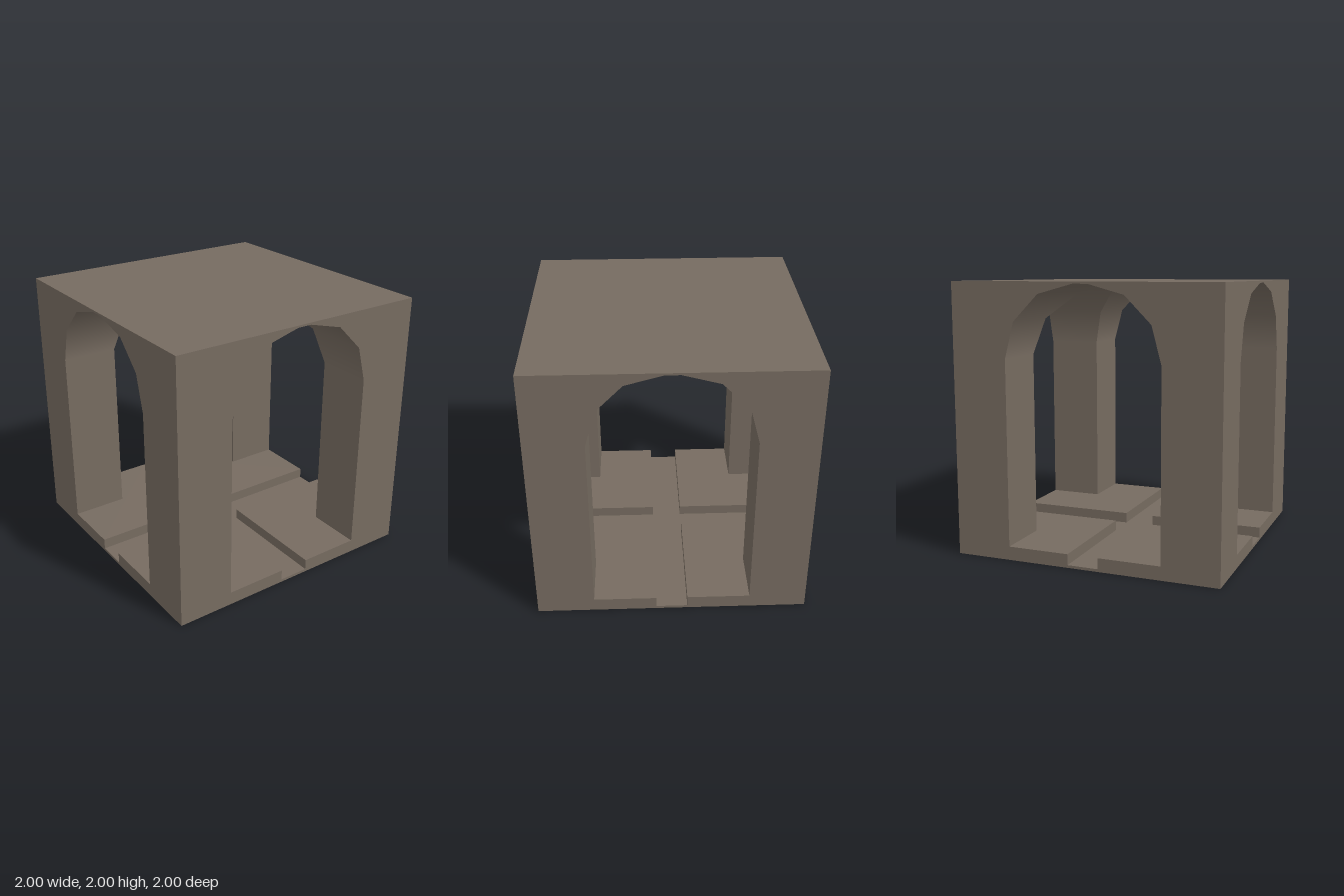
import * as THREE from 'three';

const ARCH_R = 0.525, ARCH_C = 0.055, SPRING = 1.46, STEPS = 3;
const BASE_H = 0.02, FLOOR_H = 0.1, GROOVE = 0.115;
const CROWN = SPRING + ARCH_R;

// Corner pier: a square section whose inner corner (w, w) follows the arch, forming a groin vault
function pierGeometry() {
  const rings = [{ w: ARCH_C + ARCH_R, y: FLOOR_H, n: [-1, 0] }];
  for (let i = 0; i <= STEPS; i++) {
    const a = (i / STEPS) * Math.PI / 2;
    const c = Math.cos(a), s = Math.sin(a);
    rings.push({ w: ARCH_C + ARCH_R * c, y: SPRING + ARCH_R * s, n: [-c, -s] });
  }
  const pos = [], nor = [];
  // Adds a quad and its mirror image across the x = z diagonal
  const quadPair = (p, n) => {
    for (const k of [0, 1, 2, 0, 2, 3]) { pos.push(...p[k]); nor.push(...n[k]); }
    for (const k of [0, 2, 1, 0, 3, 2]) {
      pos.push(p[k][2], p[k][1], p[k][0]);
      nor.push(n[k][2], n[k][1], n[k][0]);
    }
  };
  for (let i = 0; i < rings.length - 1; i++) {
    const a = rings[i], b = rings[i + 1];
    const na = [...a.n, 0], nb = [...b.n, 0], out = [1, 0, 0];
    // Smooth jamb and vault surface
    quadPair([[a.w, a.y, a.w], [a.w, a.y, 1], [b.w, b.y, 1], [b.w, b.y, b.w]], [na, na, nb, nb]);
    // Flat outer wall
    quadPair([[1, a.y, a.w], [1, b.y, b.w], [1, b.y, 1], [1, a.y, 1]], [out, out, out, out]);
  }
  const g = new THREE.BufferGeometry();
  g.setAttribute('position', new THREE.Float32BufferAttribute(pos, 3));
  g.setAttribute('normal', new THREE.Float32BufferAttribute(nor, 3));
  return g;
}

export function createModel() {
  const model = new THREE.Group();
  model.name = 'vaultedPavilion';
  const stone = new THREE.MeshStandardMaterial({ color: 0x766b60 });
  stone.name = 'stone';

  const add = (name, geometry, parent = model) => {
    const mesh = new THREE.Mesh(geometry, stone);
    mesh.name = name;
    parent.add(mesh);
    return mesh;
  };

  // Base under the crossing grooves, and the roof closing the vault
  add('base', new THREE.BoxGeometry(2, BASE_H, 2)).position.y = BASE_H / 2;
  add('roof', new THREE.BoxGeometry(2, 2 - CROWN, 2)).position.y = (2 + CROWN) / 2;

  // Four corners, each a raised floor slab and a pier
  const pier = pierGeometry();
  const slabW = 1 - GROOVE, slabH = FLOOR_H - BASE_H;
  const slab = new THREE.BoxGeometry(slabW, slabH, slabW);
  slab.translate(GROOVE + slabW / 2, BASE_H + slabH / 2, GROOVE + slabW / 2);
  for (let i = 0; i < 4; i++) {
    const corner = new THREE.Group();
    corner.name = `corner${i + 1}`;
    corner.rotation.y = i * Math.PI / 2;
    add('floorSlab', slab, corner);
    add('pier', pier, corner);
    model.add(corner);
  }
  return model;
}
